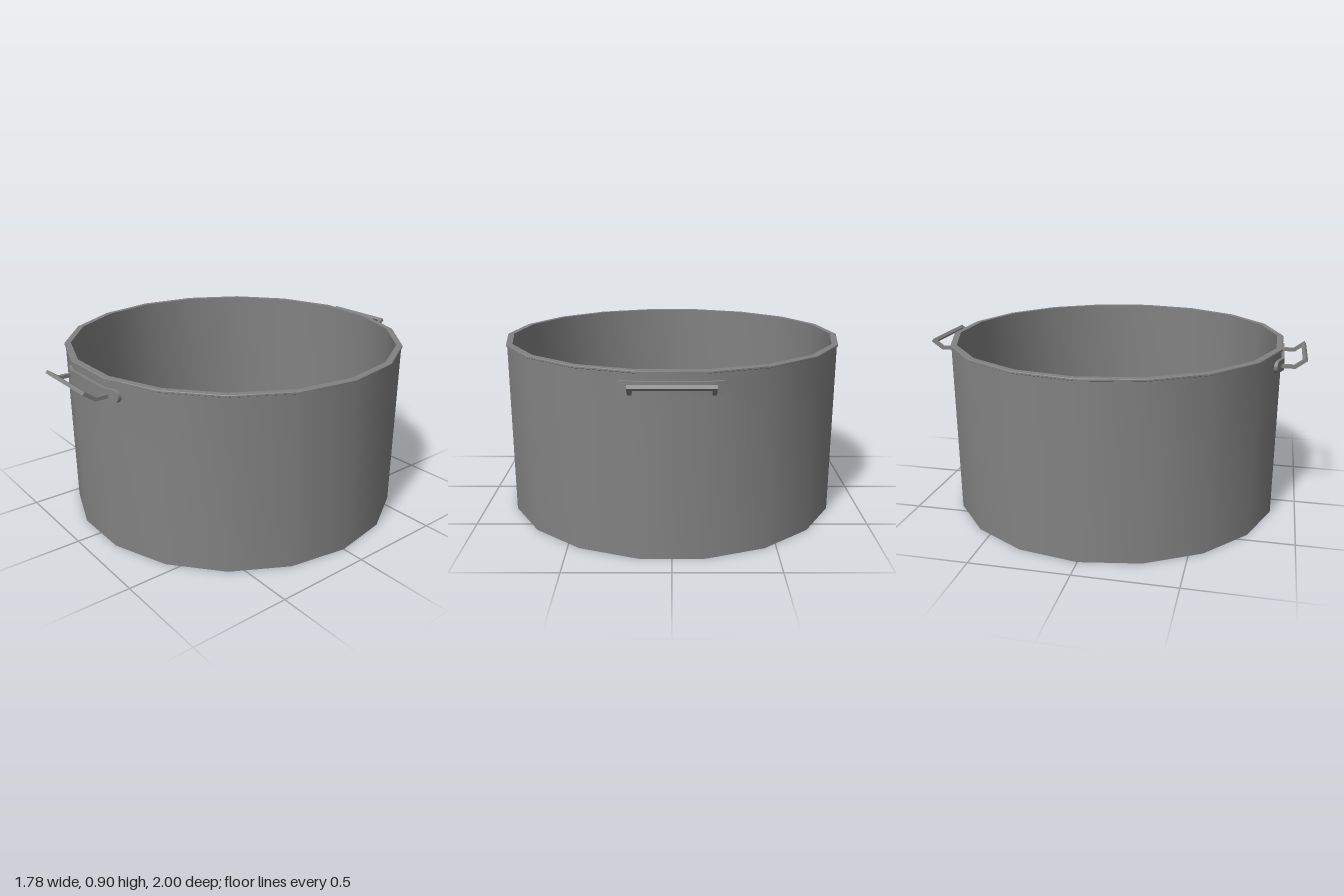
import * as THREE from 'three';
import { toCreasedNormals } from 'three/addons/utils/BufferGeometryUtils.js';

const SIDES = 18;
const material = new THREE.MeshStandardMaterial({ color: 0x828282 });

function makeMesh(name, geometry, crease) {
  const mesh = new THREE.Mesh(toCreasedNormals(geometry, crease), material);
  mesh.name = name;
  return mesh;
}

// A bar of box sections: place(column, up, out) returns each corner, up and out being -1 or 1
function sectionBar(columns, place) {
  const geometry = new THREE.BoxGeometry(columns - 1, 2, 2, columns - 1, 1, 1);
  const pos = geometry.attributes.position;
  for (let i = 0; i < pos.count; i++) {
    const column = Math.round(pos.getX(i) + (columns - 1) / 2);
    pos.setXYZ(i, ...place(column, Math.sign(pos.getY(i)), Math.sign(pos.getZ(i))));
  }
  return geometry;
}

// Round-ended plate, folded over the wall facets
function plateGeometry() {
  const half = [0.155, 0.215, 0.228, 0.237, 0.243, 0.245];
  const xs = [...half.map((x) => -x).reverse(), ...half];
  const r = 0.031;
  return sectionBar(xs.length, (c, up, out) => {
    const x = xs[c];
    const over = Math.max(0, Math.abs(x) - 0.215);
    const h = Math.max(0.003, Math.sqrt(Math.max(0, r * r - over * over)));
    const fold = Math.max(0, Math.abs(x) - 0.155) * Math.tan((2 * Math.PI) / SIDES);
    return [x, 0.819 + up * h, (out > 0 ? 0.887 : 0.868) - fold];
  });
}

// Square-section grip: straight out from the wall, then bent upward, with mitred corners
function gripGeometry() {
  const t = 0.009;
  const y0 = 0.815;
  const bendZ = 0.94;
  return sectionBar(6, (c, up, out) => {
    const x = (c < 3 ? -1 : 1) * (out > 0 ? 0.19 : 0.171);
    const station = Math.min(c, 5 - c);
    if (station === 0) return [x, y0 + up * t, 0.868];
    if (station === 1) return [x, y0 + up * t, bendZ - up * t * 0.33];
    const s = out > 0 ? 0.068 : 0.049;
    return [x, y0 + s * 0.6 + up * t * 0.8, bendZ + s * 0.8 - up * t * 0.6];
  });
}

export function createModel() {
  const model = new THREE.Group();
  model.name = 'pot';

  // Hollow body with a thin, barely flared rim
  const profile = [
    [0, 0], [0.884, 0], [0.884, 0.883], [0.89, 0.886], [0.89, 0.893], [0.887, 0.896],
    [0.857, 0.896], [0.857, 0.025], [0, 0.025],
  ].map(([r, y]) => new THREE.Vector2(r, y));
  const body = new THREE.LatheGeometry(profile, SIDES, Math.PI / 2);
  model.add(makeMesh('body', body, 0.6));

  // Matching handles at front and back
  ['frontHandle', 'backHandle'].forEach((name, i) => {
    const handle = new THREE.Group();
    handle.name = name;
    handle.add(makeMesh('handlePlate', plateGeometry(), 0.6));
    handle.add(makeMesh('handleGrip', gripGeometry(), 0.8));
    handle.rotation.y = i * Math.PI;
    model.add(handle);
  });

  return model;
}
